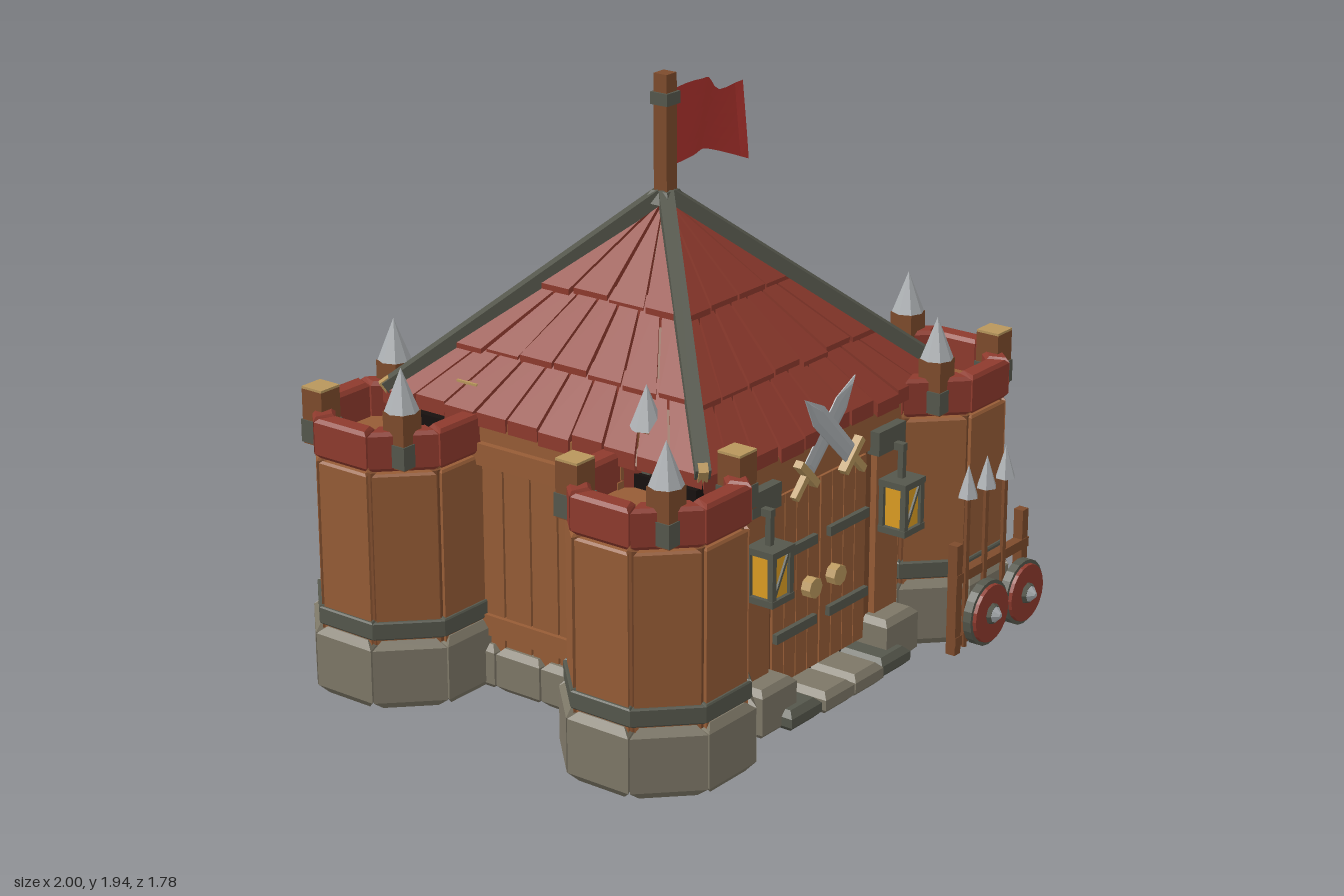
import * as THREE from 'three';

const mat = (name, color) => {
  const m = new THREE.MeshStandardMaterial({ color, flatShading: true });
  m.name = name;
  return m;
};

export function createModel() {
  const wood = mat('wood', 0x965c36), darkWood = mat('darkWood', 0x7d4b2c);
  const red = mat('tileRed', 0x8e3a2d), flagRed = mat('flagRed', 0xad322d);
  const stone = mat('stone', 0x7d7767), iron = mat('iron', 0x55574c);
  const steel = mat('steel', 0xadb1b4), brass = mat('brass', 0xb8965c);
  const amber = mat('lampAmber', 0xdc9d22), dark = mat('interior', 0x17110f);
  flagRed.side = THREE.DoubleSide;

  const root = new THREE.Group();
  root.name = 'fort';
  let seed = 7;
  const rnd = () => (seed = (seed * 16807) % 2147483647) / 2147483647;

  const group = (name, parent = root) => {
    const g = new THREE.Group();
    g.name = name;
    parent.add(g);
    return g;
  };
  const add = (parent, name, geo, m, x = 0, y = 0, z = 0) => {
    const mesh = new THREE.Mesh(geo, m);
    mesh.name = name;
    mesh.position.set(x, y, z);
    parent.add(mesh);
    return mesh;
  };
  // Box given by its minimum and maximum corners
  const box = (parent, name, m, x0, x1, y0, y1, z0, z1) =>
    add(parent, name, new THREE.BoxGeometry(x1 - x0, y1 - y0, z1 - z0), m, (x0 + x1) / 2, (y0 + y1) / 2, (z0 + z1) / 2);
  // Chamfered prism: outline (x, -z) extruded upward
  const prism = (pts, h, b) => {
    const s = new THREE.Shape(pts.map(p => new THREE.Vector2(...p)));
    const g = new THREE.ExtrudeGeometry(s, { depth: h - 2 * b, bevelEnabled: b > 0, bevelSize: b, bevelThickness: b, bevelOffset: -b, bevelSegments: 1 });
    return g.translate(0, 0, b).rotateX(-Math.PI / 2);
  };
  const block = (parent, name, m, x0, x1, y0, y1, z0, z1, b = 0.02) =>
    add(parent, name, prism([[x0, -z1], [x1, -z1], [x1, -z0], [x0, -z0]], y1 - y0, b), m, 0, y0, 0);
  // Square bar between two points, aimed before it joins its parent
  const bar = (parent, name, m, a, b, w, h = w) => {
    const A = new THREE.Vector3(...a), B = new THREE.Vector3(...b);
    const mesh = new THREE.Mesh(new THREE.BoxGeometry(w, h, A.distanceTo(B)), m);
    mesh.name = name;
    mesh.position.copy(A).lerp(B, 0.5);
    mesh.lookAt(B);
    parent.add(mesh);
  };
  // Ring of eight wedge blocks
  const T = Math.tan(Math.PI / 8);
  const octRing = (parent, name, m, rIn, rOut, y0, y1, gap, bevel) => {
    for (let i = 0; i < 8; i++) {
      const a = rIn * T - gap, b = rOut * T - gap;
      add(parent, name, prism([[rIn, -a], [rOut, -b], [rOut, b], [rIn, a]], y1 - y0, bevel), m, 0, y0, 0).rotation.y = i * Math.PI / 4;
    }
  };
  const oct = (r, h) => new THREE.CylinderGeometry(r / Math.cos(Math.PI / 8), r / Math.cos(Math.PI / 8), h, 8).rotateY(Math.PI / 8);

  // Four corner towers, hollow underneath
  for (const x of [-0.71, 0.71]) for (const z of [-0.6, 0.435]) {
    const t = group('tower');
    t.position.set(x, 0, z);
    octRing(t, 'towerFootStone', stone, 0.15, 0.29, 0, 0.23, 0.003, 0.025);
    add(t, 'towerCore', oct(0.25, 0.58), darkWood, 0, 0.5, 0);
    octRing(t, 'towerPlank', wood, 0.2, 0.266, 0.2, 0.79, 0.01, 0.008);
    octRing(t, 'towerIronBand', iron, 0.24, 0.276, 0.235, 0.295, 0, 0.005);
    add(t, 'towerFloor', oct(0.25, 0.02), wood, 0, 0.805, 0);
    octRing(t, 'towerParapet', red, 0.2, 0.272, 0.8, 0.93, 0.003, 0.012);
    for (const sx of [-1, 1]) for (const sz of [-1, 1]) {
      const spiked = sx !== sz, px = sx * 0.172, pz = sz * 0.172;
      box(t, 'parapetPost', darkWood, px - 0.042, px + 0.042, 0.81, 0.992, pz - 0.042, pz + 0.042);
      box(t, 'parapetClamp', iron, px - 0.046, px + 0.046, 0.815, 0.89, pz - 0.046, pz + 0.046);
      if (spiked) add(t, 'postSpike', new THREE.ConeGeometry(0.055, 0.14, 8), steel, px, 1.062, pz);
      else box(t, 'postCap', brass, px - 0.042, px + 0.042, 0.992, 1.0, pz - 0.042, pz + 0.042);
    }
  }

  // Hall walls
  const hall = group('hall');
  box(hall, 'hallCore', dark, -0.6, 0.6, 0.05, 0.86, -0.66, 0.5);
  for (let i = 0; i < 9; i++) {
    const x = -0.48 + i * 0.1067;
    box(hall, 'backPlank', wood, x + 0.004, x + 0.103, 0.08, 0.9, -0.69, -0.65);
  }
  for (let i = 0; i < 6; i++) {
    const x = -0.48 + i * 0.16;
    block(hall, 'backFootStone', stone, x + 0.004, x + 0.156, 0, 0.13 + 0.03 * rnd(), -0.73, -0.58);
  }
  for (const s of [-1, 1]) {
    const side = (name, m, x0, x1, ...r) => box(hall, name, m, Math.min(s * x0, s * x1), Math.max(s * x0, s * x1), ...r);
    for (let i = 0; i < 5; i++) {
      const z = -0.36 + i * 0.111;
      side('sidePlank', wood, 0.59, 0.62, 0.08, 0.77, z + 0.004, z + 0.107);
    }
    side('sideTopBeam', wood, 0.58, 0.65, 0.765, 0.838, -0.4, 0.24);
    side('sideEaveBeam', wood, 0.57, 0.635, 0.842, 0.92, -0.4, 0.24);
    side('sideBottomBeam', wood, 0.58, 0.635, 0.18, 0.25, -0.36, 0.2);
    for (let i = 0; i < 4; i++) {
      const z = -0.457 + i * 0.187;
      block(hall, 'sideFootStone', stone, s > 0 ? 0.5 : -0.65, s > 0 ? 0.65 : -0.5, 0, 0.15, z + 0.004, z + 0.183);
    }

    // Front frame, door leaf and steps, mirrored
    side('frontPost', wood, 0.29, 0.42, 0.1, 0.76, 0.49, 0.55);
    side('doorJamb', darkWood, 0.257, 0.286, 0.08, 0.74, 0.48, 0.53);
    side('frontCornerPost', darkWood, 0.42, 0.48, 0.1, 0.82, 0.48, 0.52);
    for (let i = 0; i < 4; i++) side('doorPlank', wood, 0.004 + i * 0.063, 0.063 + i * 0.063, 0.09, 0.73, 0.49, 0.535);
    for (const y of [0.26, 0.535]) side('doorStrap', iron, 0.035, 0.25, y - 0.016, y + 0.016, 0.53, 0.552);
    add(hall, 'doorKnob', new THREE.CylinderGeometry(0.035, 0.035, 0.04, 8).rotateX(Math.PI / 2), brass, s * 0.067, 0.38, 0.55);
    const sb = (name, m, a, b, ...r) => block(hall, name, m, Math.min(s * a, s * b), Math.max(s * a, s * b), ...r);
    sb('doorSideStone', stone, 0.25, 0.43, 0, 0.165, 0.45, 0.63);
    sb('innerStepStone', stone, 0.004, 0.16, 0, 0.075, 0.42, 0.68);
    sb('outerStepStone', iron, 0.168, 0.33, 0, 0.07, 0.42, 0.67);

    // Hanging lantern
    const l = group('lantern');
    l.position.set(s * 0.36, 0, 0.6);
    box(l, 'lanternBracket', iron, -0.075 - s * 0.02, 0.075 - s * 0.02, 0.725, 0.805, -0.07, -0.025);
    box(l, 'lanternArm', iron, -0.012, 0.012, 0.725, 0.75, -0.03, 0.012);
    box(l, 'lanternHook', iron, -0.01, 0.01, 0.63, 0.73, -0.01, 0.01);
    box(l, 'lanternGlass', amber, -0.042, 0.042, 0.46, 0.62, -0.042, 0.042);
    for (const y of [0.45, 0.61]) box(l, 'lanternPlate', iron, -0.058, 0.058, y, y + 0.022, -0.055, 0.055);
    for (const px of [-1, 1]) for (const pz of [-1, 1])
      box(l, 'lanternCorner', iron, px * 0.045 - 0.01, px * 0.045 + 0.01, 0.455, 0.625, pz * 0.043 - 0.01, pz * 0.043 + 0.01);
    for (const pz of [-0.044, 0.044]) bar(l, 'lanternDiagonal', iron, [-0.038, 0.475, pz], [0.038, 0.61, pz], 0.01);
  }
  box(hall, 'doorLintel', wood, -0.44, 0.44, 0.74, 0.87, 0.48, 0.54);

  // Crossed swords above the door
  for (const s of [-1, 1]) {
    const sword = group('sword');
    sword.position.set(0, 0.89, 0.564 + s * 0.007);
    sword.rotation.z = s * Math.PI / 4;
    const blade = new THREE.Shape([[-0.033, -0.15], [0.033, -0.15], [0.038, 0.1], [0, 0.205], [-0.038, 0.1]].map(p => new THREE.Vector2(...p)));
    add(sword, 'swordBlade', new THREE.ExtrudeGeometry(blade, { depth: 0.004, bevelSize: 0.02, bevelThickness: 0.006, bevelOffset: -0.02, bevelSegments: 1 }), steel);
    box(sword, 'swordGuard', brass, -0.065, 0.065, -0.17, -0.145, -0.012, 0.018);
    box(sword, 'swordGrip', brass, -0.012, 0.012, -0.25, -0.165, -0.008, 0.014);
  }

  // Pyramid roof with overlapping tapered tiles; front and back eaves hang lower
  const roof = group('roof');
  roof.position.z = -0.083;
  add(roof, 'roofCore', new THREE.ConeGeometry(0.62 * Math.SQRT2, 0.62, 4).rotateY(Math.PI / 4), darkWood, 0, 1.205, 0);
  const rows = [[0.02, 0.3, 4], [0.25, 0.495, 7], [0.44, 0.65, 10]];
  for (let k = 0; k < 4; k++) {
    const face = group('roofFace', roof);
    face.rotation.y = k * Math.PI / 2;
    const slopeY = d => 1.53 - (k % 2 ? 0.965 : 1.005) * d;
    for (const [d0, d1, n] of rows) for (let i = 0; i < n; i++) {
      const g = new THREE.BoxGeometry(1, 1, 1), p = g.attributes.position;
      const end = d1 - 0.012 * rnd(), lift = 0.022 + 0.012 * rnd();
      for (let v = 0; v < p.count; v++) {
        const low = p.getZ(v) > 0, d = low ? end : d0;
        const x = d * (2 * (i + 0.5 + p.getX(v)) / n - 1) - Math.sign(p.getX(v)) * 0.005;
        p.setXYZ(v, x, slopeY(d) + (p.getY(v) > 0 ? (low ? lift : 0.008) : -0.02), d);
      }
      g.computeVertexNormals();
      add(face, 'roofTile', g, red);
    }
    bar(face, 'hipBeam', iron, [0.638, 0.935, 0.638], [0.01, 1.545, 0.01], 0.048, 0.045);
    bar(face, 'hipEnd', brass, [0.643, 0.93, 0.643], [0.622, 0.9505, 0.622], 0.03, 0.052);
  }
  add(roof, 'roofPeak', new THREE.CylinderGeometry(0.045, 0.075, 0.04, 4).rotateY(Math.PI / 4), iron, 0, 1.54, 0);

  // Flagpole and waving flag
  const flag = group('flag');
  flag.position.z = -0.083;
  box(flag, 'flagPole', darkWood, -0.026, 0.026, 1.5, 1.94, -0.026, 0.026);
  box(flag, 'flagCollar', iron, -0.034, 0.034, 1.84, 1.88, -0.034, 0.034);
  const edge = ys => new THREE.SplineCurve(ys.map((y, i) => new THREE.Vector2(0.025 + 0.395 * i / (ys.length - 1), y)));
  const topEdge = edge([1.875, 1.893, 1.88, 1.815, 1.83]), lowEdge = edge([1.63, 1.645, 1.64, 1.61, 1.57]);
  const cloth = new THREE.PlaneGeometry(1, 1, 12, 5), cp = cloth.attributes.position;
  for (let i = 0; i < cp.count; i++) {
    const u = cp.getX(i) + 0.5, v = cp.getY(i) + 0.5;
    const p = lowEdge.getPoint(u).lerp(topEdge.getPoint(u), v);
    cp.setXYZ(i, p.x, p.y, 0.03 * Math.sin(u * 6 + (1 - v) * 0.9) * Math.min(1, u * 3));
  }
  cloth.computeVertexNormals();
  add(flag, 'flagCloth', cloth, flagRed);

  // Spear rack with two round shields
  const rack = group('weaponRack');
  for (const x of [0.437, 0.833]) box(rack, 'rackPost', darkWood, x - 0.017, x + 0.017, 0.03, 0.415, 0.748, 0.783);
  for (const y of [0.075, 0.295]) box(rack, 'rackRail', darkWood, 0.42, 0.855, y - 0.017, y + 0.017, 0.75, 0.785);
  for (const x of [0.47, 0.58, 0.693]) {
    add(rack, 'spearShaft', new THREE.CylinderGeometry(0.011, 0.011, 0.53, 6), darkWood, x, 0.315, 0.785);
    add(rack, 'spearHead', new THREE.ConeGeometry(0.035, 0.11, 6), steel, x, 0.63, 0.785);
  }
  const disc = (r0, r1, h, n) => new THREE.CylinderGeometry(r0, r1, h, n).rotateX(Math.PI / 2);
  for (const x of [0.525, 0.74]) {
    add(rack, 'shieldRim', disc(0.112, 0.112, 0.03, 20), iron, x, 0.165, 0.83);
    add(rack, 'shieldFace', disc(0.098, 0.1, 0.014, 20), red, x, 0.165, 0.85);
    add(rack, 'shieldBossRing', disc(0.03, 0.038, 0.014, 8), iron, x, 0.165, 0.863);
    add(rack, 'shieldBoss', disc(0.008, 0.028, 0.02, 8), steel, x, 0.165, 0.88);
  }
  return root;
}
